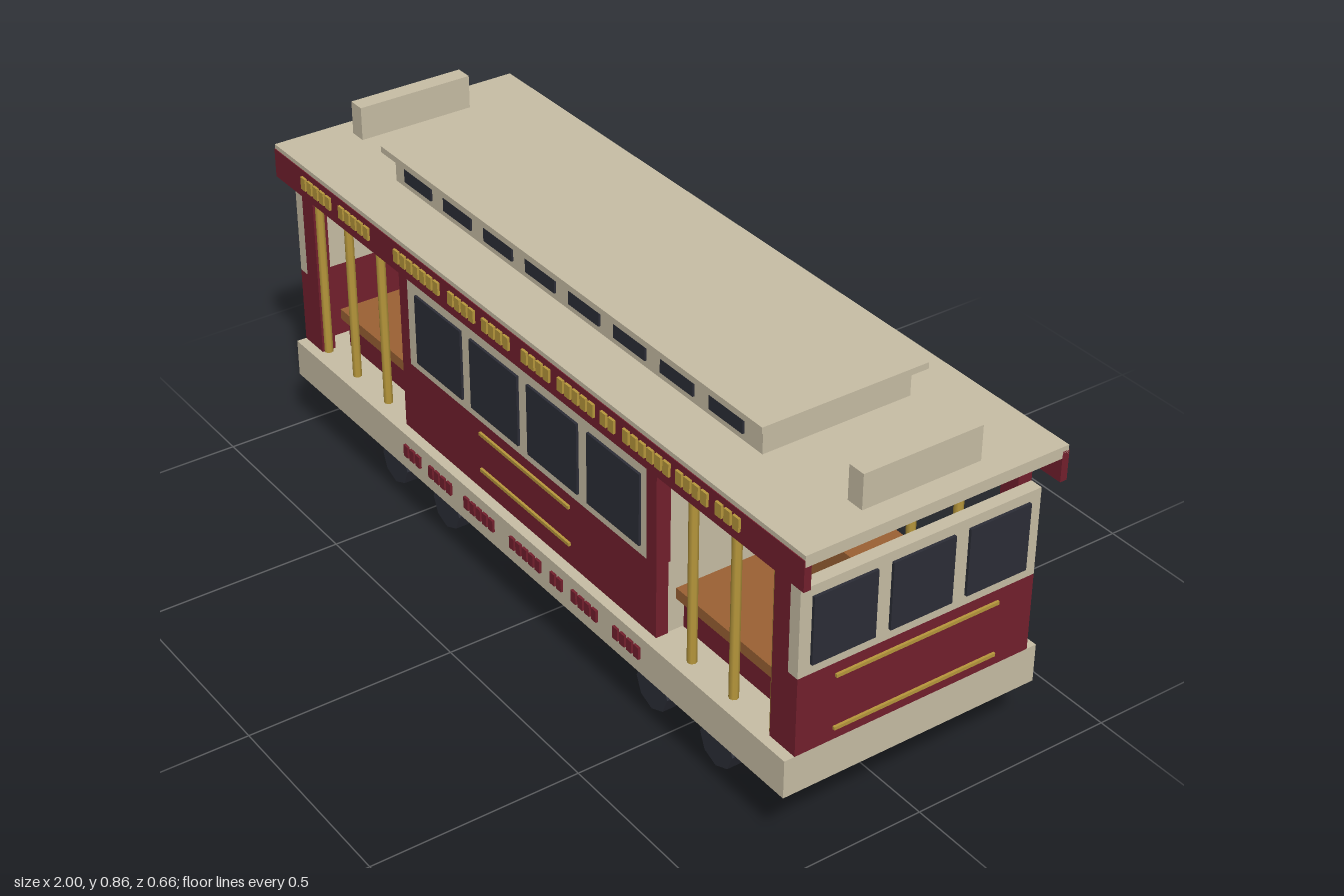
import * as THREE from 'three';

const paint = (name, color) => {
  const m = new THREE.MeshStandardMaterial({ color });
  m.name = name;
  return m;
};

export function createModel() {
  const cream = paint('cream', 0xc9bfa6);
  const red = paint('maroon', 0x74202e);
  const dark = paint('charcoal', 0x2c2e37);
  const gold = paint('gold', 0xb8983c);
  const wood = paint('wood', 0x9c6234);

  const tram = new THREE.Group();
  tram.name = 'streetcar';

  // Box given by its lower and upper limits on each axis
  const box = (name, mat, x0, x1, y0, y1, z0, z1) => {
    const mesh = new THREE.Mesh(new THREE.BoxGeometry(x1 - x0, y1 - y0, z1 - z0), mat);
    mesh.position.set((x0 + x1) / 2, (y0 + y1) / 2, (z0 + z1) / 2);
    mesh.name = name;
    tram.add(mesh);
    return mesh;
  };
  // Box centred across the car
  const slab = (name, mat, x, y0, y1, z) => box(name, mat, -x, x, y0, y1, -z, z);
  // The same box on the front and back sides
  const bothSides = (name, mat, x0, x1, y0, y1, z0, z1) => {
    box(name, mat, x0, x1, y0, y1, z0, z1);
    box(name, mat, x0, x1, y0, y1, -z1, -z0);
  };
  // The same box at the left and right ends
  const bothEnds = (name, mat, x0, x1, y0, y1, z0, z1) => {
    box(name, mat, x0, x1, y0, y1, z0, z1);
    box(name, mat, -x1, -x0, y0, y1, z0, z1);
  };

  // Underframe, trucks and octagonal wheel rollers
  slab('underframe', dark, 0.915, 0.12, 0.168, 0.23);
  bothEnds('truck', dark, 0.348, 0.708, 0.058, 0.125, -0.229, 0.229);
  const wheelGeo = new THREE.CylinderGeometry(0.056, 0.056, 0.504, 8).toNonIndexed();
  wheelGeo.rotateX(Math.PI / 2);
  wheelGeo.computeVertexNormals();
  for (const x of [-0.643, -0.413, 0.413, 0.643]) {
    const wheel = new THREE.Mesh(wheelGeo, dark);
    wheel.position.set(x, 0.056, 0);
    wheel.name = 'wheelPair';
    tram.add(wheel);
  }

  // Floor skirt
  slab('skirt', cream, 0.96, 0.167, 0.26, 0.325);

  // Closed middle cabin
  slab('cabinCore', cream, 0.492, 0.26, 0.711, 0.29);
  bothSides('cabinLowerPanel', red, -0.495, 0.495, 0.26, 0.44, 0.27, 0.3);
  bothSides('cabinWindowPanel', cream, -0.46, 0.46, 0.44, 0.711, 0.28, 0.3);
  for (const s of [-1, 1]) {
    const [a, b] = s < 0 ? [-0.495, -0.46] : [0.46, 0.495];
    bothSides('cabinPost', red, a, b, 0.44, 0.711, 0.265, 0.3);
  }
  for (let i = 0; i < 4; i++) {
    const x = 0.01 + (i - 1.5) * 0.225;
    bothSides('cabinWindow', dark, x - 0.094, x + 0.094, 0.463, 0.638, 0.299, 0.306);
  }
  for (const y of [0.315, 0.41]) {
    bothSides('sideStripe', gold, -0.168, 0.182, y - 0.004, y + 0.004, 0.299, 0.306);
  }

  // End walls with three windows, pinstripes and corner posts
  bothEnds('endLowerWall', red, 0.93, 0.96, 0.26, 0.45, -0.3, 0.3);
  bothEnds('endWindowWall', cream, 0.93, 0.96, 0.45, 0.66, -0.3, 0.3);
  for (const z of [-0.193, 0, 0.193]) {
    bothEnds('endWindow', dark, 0.959, 0.967, 0.475, 0.636, z - 0.078, z + 0.078);
  }
  for (const y of [0.29, 0.42]) {
    bothEnds('endStripe', gold, 0.959, 0.966, y - 0.004, y + 0.004, -0.207, 0.207);
  }
  for (const [z0, z1] of [[-0.3, -0.265], [0.265, 0.3]]) {
    bothEnds('cornerPost', red, 0.88, 0.93, 0.26, 0.711, z0, z1);
  }

  // Benches facing outward in the open sections
  bothEnds('benchBase', red, 0.495, 0.87, 0.26, 0.34, -0.23, 0.23);
  bothEnds('benchSeat', wood, 0.495, 0.87, 0.34, 0.367, -0.25, 0.25);
  bothEnds('benchBack', wood, 0.495, 0.87, 0.367, 0.52, -0.03, 0.03);

  // Brass grab poles
  const poleGeo = new THREE.CylinderGeometry(0.011, 0.011, 0.456, 8);
  for (const x of [-0.877, -0.742, -0.6, 0.6, 0.742, 0.877]) {
    for (const z of [-0.285, 0.285]) {
      const pole = new THREE.Mesh(poleGeo, gold);
      pole.position.set(x, 0.488, z);
      pole.name = 'grabPole';
      tram.add(pole);
    }
  }

  // Roof with side valances
  slab('roof', cream, 1, 0.746, 0.773, 0.324);
  bothSides('valance', red, -1, 1, 0.69, 0.762, 0.309, 0.326);

  // Raised clerestory with eight small windows per side
  slab('clerestory', cream, 0.685, 0.773, 0.841, 0.185);
  slab('clerestoryRoof', cream, 0.71, 0.841, 0.856, 0.207);
  for (let i = 0; i < 8; i++) {
    const x = -0.007 + (i - 3.5) * 0.165;
    bothSides('clerestoryWindow', dark, x - 0.056, x + 0.056, 0.79, 0.827, 0.184, 0.19);
  }
  bothEnds('roofBoard', cream, 0.901, 0.944, 0.773, 0.855, -0.147, 0.147);

  // Rows of plain ornamental dashes: [start x, count]
  const dashes = (name, mat, groups, pitch, width, y0, y1, z) => {
    for (const [start, count] of groups) {
      for (let i = 0; i < count; i++) {
        const x = start + i * pitch;
        bothSides(name, mat, x, x + width, y0, y1, z, z + 0.007);
      }
    }
  };
  dashes('valanceDash', gold, [[-0.87, 5], [-0.7, 5], [-0.46, 7], [-0.235, 4], [-0.1, 4],
    [0.053, 4], [0.187, 5], [0.342, 2], [0.42, 6], [0.6, 4], [0.73, 3]],
  0.0276, 0.02, 0.716, 0.747, 0.325);
  dashes('skirtDash', red, [[-0.46, 3], [-0.353, 4], [-0.203, 5], [-0.016, 5],
    [0.144, 2], [0.225, 4], [0.38, 4]], 0.0255, 0.018, 0.204, 0.234, 0.324);

  return tram;
}
